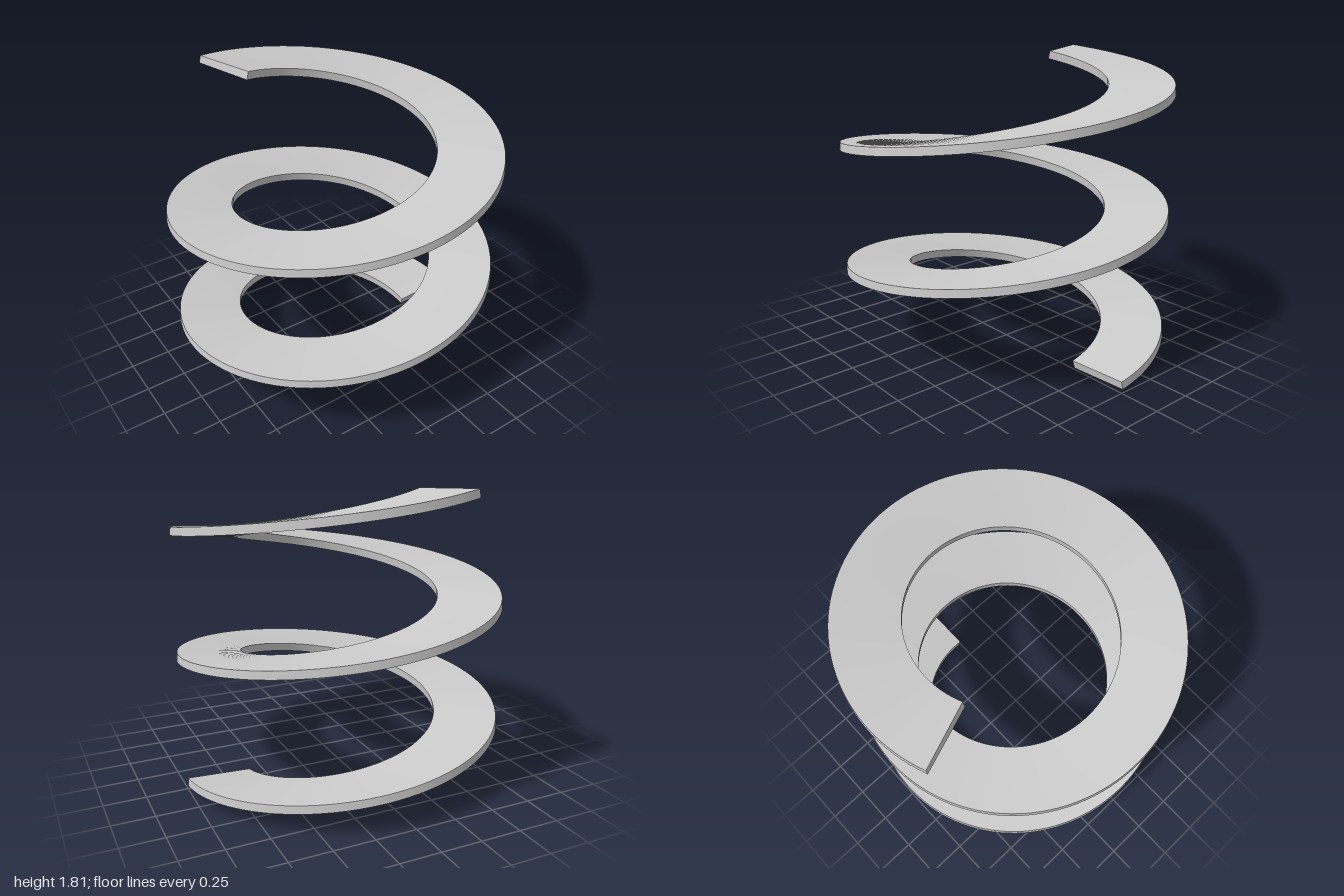
import * as THREE from 'three';
import { toCreasedNormals } from 'three/addons/utils/BufferGeometryUtils.js';

const PITCH = 0.755;
const SWEEP = Math.PI * 2 * 2 + THREE.MathUtils.degToRad(111.3);
const STEPS = 280;

// Slightly banked band section: radius, height, lead along the direction of travel
const SECTION = [
  [0.615, 0.003, 0.013], // inner bottom
  [1.0, 0.025, 0.007], // outer bottom
  [0.995, 0.072, 0], // outer top
  [0.61, 0.054, 0], // inner top
];

// Sweep the section up the helix, starting at +x and turning towards -z
function helicalBand() {
  const positions = [];
  const index = [];
  const n = SECTION.length;
  for (let i = 0; i <= STEPS; i++) {
    const angle = (SWEEP * i) / STEPS;
    const rise = (PITCH * angle) / (Math.PI * 2);
    for (const [r, y, lead] of SECTION) {
      const a = angle + lead / r;
      positions.push(r * Math.cos(a), y + rise, -r * Math.sin(a));
    }
  }
  for (let i = 0; i < STEPS; i++) {
    for (let k = 0; k < n; k++) {
      const a = i * n + k;
      const b = i * n + ((k + 1) % n);
      index.push(a, a + n, b + n, a, b + n, b);
    }
  }
  // Flat caps at the two ends
  const e = STEPS * n;
  index.push(0, 1, 2, 0, 2, 3, e, e + 2, e + 1, e, e + 3, e + 2);

  const geometry = new THREE.BufferGeometry();
  geometry.setAttribute('position', new THREE.Float32BufferAttribute(positions, 3));
  geometry.setIndex(index);
  return toCreasedNormals(geometry, 0.7);
}

export function createModel() {
  const group = new THREE.Group();
  group.name = 'spiralSpring';
  const coil = new THREE.Mesh(
    helicalBand(),
    new THREE.MeshStandardMaterial({ color: 0xcccccc })
  );
  coil.name = 'coil';
  group.add(coil);
  return group;
}
